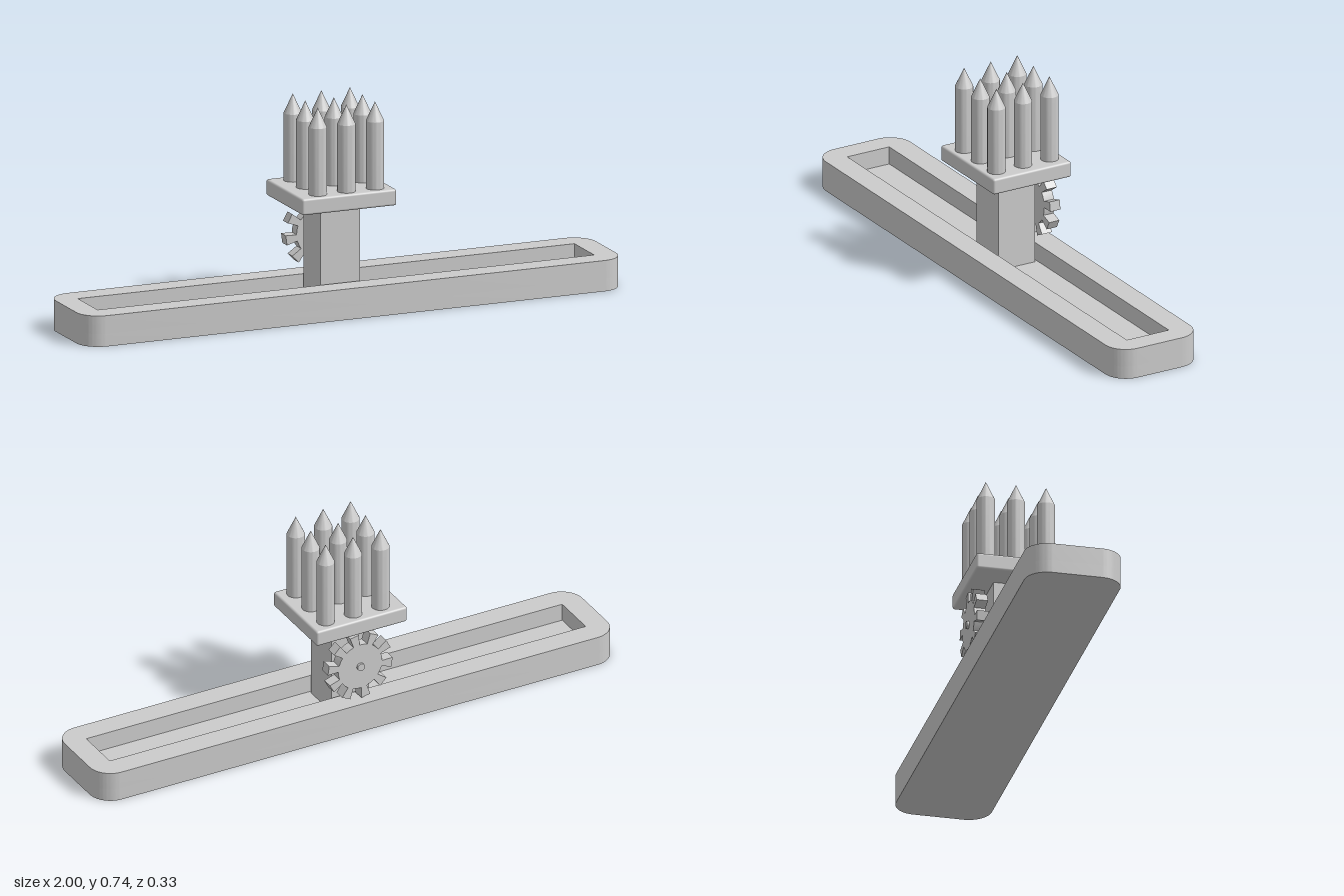
import * as THREE from 'three';
import { RoundedBoxGeometry } from 'three/addons/geometries/RoundedBoxGeometry.js';
import { toCreasedNormals } from 'three/addons/utils/BufferGeometryUtils.js';

const material = new THREE.MeshStandardMaterial({ color: 0xcccccc });

function part(name, geometry, x = 0, y = 0, z = 0) {
  const mesh = new THREE.Mesh(geometry, material);
  mesh.name = name;
  mesh.position.set(x, y, z);
  return mesh;
}

// Rectangle with rounded corners, centred on the origin
function roundedRect(w, d, r) {
  const s = new THREE.Shape();
  s.absarc(w - r, d - r, r, 0, Math.PI / 2);
  s.absarc(r - w, d - r, r, Math.PI / 2, Math.PI);
  s.absarc(r - w, r - d, r, Math.PI, Math.PI * 1.5);
  s.absarc(w - r, r - d, r, Math.PI * 1.5, Math.PI * 2);
  s.closePath();
  return s;
}

// Horizontal slab extruded upward from its own origin
function slab(shape, height) {
  const g = new THREE.ExtrudeGeometry(shape, { depth: height, bevelEnabled: false, curveSegments: 10 });
  g.rotateX(-Math.PI / 2);
  return toCreasedNormals(g, 0.5);
}

// Gear outline: round hub with slightly flared teeth
function gearShape(teeth, root, tip, phase) {
  const pts = [];
  const step = (Math.PI * 2) / teeth;
  const polar = (r, a) => pts.push(new THREE.Vector2(r * Math.cos(a), r * Math.sin(a)));
  for (let i = 0; i < teeth; i++) {
    const a = phase + i * step;
    polar(root, a - 0.13);
    polar(tip, a - 0.14);
    polar(tip, a + 0.14);
    polar(root, a + 0.13);
    polar(root, a + step / 2);
  }
  return new THREE.Shape(pts);
}

export function createModel() {
  const model = new THREE.Group();
  model.name = 'sliderMechanism';

  // Base rail: solid floor below an open slotted rim
  const floorY = 0.045, baseTop = 0.108;
  const rim = roundedRect(1, 0.167, 0.08);
  rim.holes.push(new THREE.Path([
    new THREE.Vector2(-0.92, -0.083), new THREE.Vector2(-0.92, 0.083),
    new THREE.Vector2(0.92, 0.083), new THREE.Vector2(0.92, -0.083),
  ]));
  const base = new THREE.Group();
  base.name = 'base';
  base.add(part('baseFloor', slab(roundedRect(1, 0.167, 0.08), floorY)));
  base.add(part('baseRim', slab(rim, baseTop - floorY), 0, floorY));
  model.add(base);

  // Post standing in the slot and the plate on top
  const cx = -0.016;
  model.add(part('post', new THREE.BoxGeometry(0.145, 0.38 - floorY, 0.144), cx, (0.38 + floorY) / 2));
  model.add(part('plate', new RoundedBoxGeometry(0.35, 0.057, 0.308, 3, 0.008), cx, 0.4055, -0.002));

  // Three by three pointed rods
  const rod = toCreasedNormals(new THREE.LatheGeometry([
    new THREE.Vector2(0, 0.43), new THREE.Vector2(0.031, 0.43),
    new THREE.Vector2(0.031, 0.67), new THREE.Vector2(0, 0.737),
  ], 32), 0.4);
  const rods = new THREE.Group();
  rods.name = 'rods';
  for (let i = -1; i <= 1; i++) {
    for (let j = -1; j <= 1; j++) rods.add(part('rod', rod, -0.008 + i * 0.106, 0, j * 0.105));
  }
  model.add(rods);

  // Gear and its axle behind the post
  const gear = new THREE.ExtrudeGeometry(gearShape(10, 0.085, 0.125, 0.14), { depth: 0.04, bevelEnabled: false });
  model.add(part('gear', toCreasedNormals(gear, 0.35), cx, 0.242, -0.142));
  const axle = new THREE.CylinderGeometry(0.014, 0.014, 0.08, 20);
  axle.rotateX(Math.PI / 2);
  model.add(part('axle', axle, cx, 0.242, -0.11));

  return model;
}
